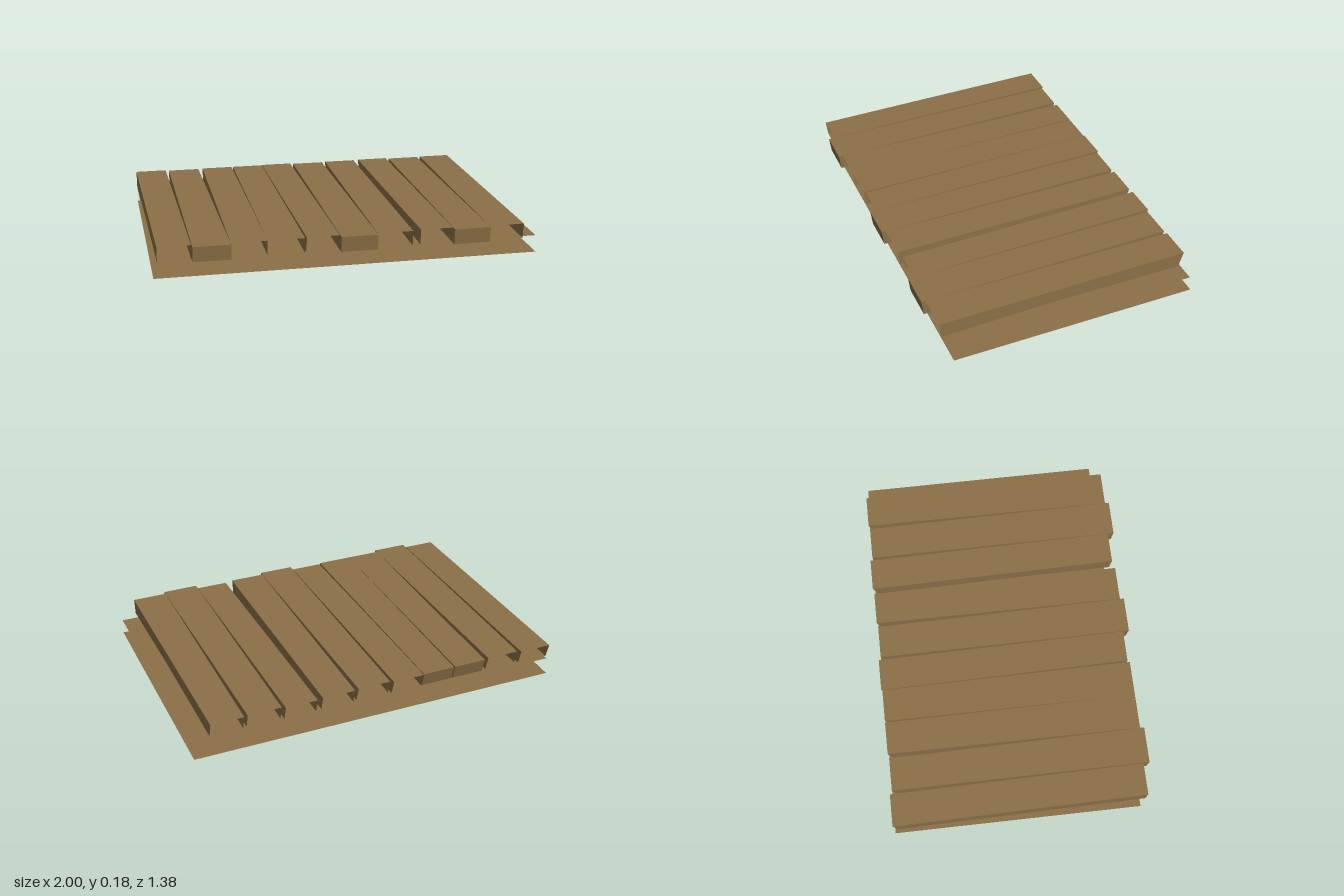
import * as THREE from 'three';

const wood = new THREE.MeshStandardMaterial({ color: 0x8b6f47, side: THREE.DoubleSide, flatShading: true });
wood.name = 'brown wood';

// Hollow plank lofted through front, middle and back sections; either end may be capped
function plankGeometry({ frontX, backX, frontZ, backZ, cap }) {
  const mid = (a, b, t) => a + (b - a) * t;
  const sections = [
    { x: frontX, top: [0.174, frontZ], bottom: [0.092, frontZ - 0.01] },
    { x: [mid(frontX[0], backX[0], 0.45), mid(frontX[1], backX[1], 0.45)], top: [0.176, 0.07], bottom: [0.104, 0.07] },
    { x: backX, top: [0.178, backZ], bottom: [0.096, backZ + 0.025] },
  ];
  const points = [], faces = [];
  for (const { x: [l, r], top, bottom } of sections) {
    points.push(l, ...bottom, r, ...bottom, r, ...top, l, ...top);
  }
  const quad = (a, b, c, d) => faces.push(a, b, c, a, c, d);
  for (let s = 0; s < 2; s++) {
    for (let i = 0; i < 4; i++) {
      const j = (i + 1) % 4, a = s * 4, b = a + 4;
      quad(a + i, b + i, b + j, a + j);
    }
  }
  if (cap === 'front') quad(0, 1, 2, 3);
  if (cap === 'back') quad(9, 8, 11, 10);
  const indexed = new THREE.BufferGeometry();
  indexed.setAttribute('position', new THREE.Float32BufferAttribute(points, 3));
  indexed.setIndex(faces);
  const geometry = indexed.toNonIndexed();
  geometry.computeVertexNormals();
  return geometry;
}

// Three cuts of plank, by the z of their ends
const cuts = {
  short: { frontZ: 0.657, backZ: -0.692 },
  long: { frontZ: 0.69, backZ: -0.68, cap: 'front' },
  middle: { frontZ: 0.668, backZ: -0.686 },
  closedBack: { frontZ: 0.668, backZ: -0.686, cap: 'back' },
};

// Cut, x edges at the front, x edges at the back
const planks = [
  ['short', [-0.98, -0.81], [-1.0, -0.828]],
  ['long', [-0.807, -0.615], [-0.81, -0.635]],
  ['closedBack', [-0.615, -0.43], [-0.61, -0.435]],
  ['closedBack', [-0.43, -0.24], [-0.427, -0.253]],
  ['short', [-0.23, -0.06], [-0.25, -0.078]],
  ['long', [-0.058, 0.132], [-0.062, 0.115]],
  ['middle', [0.133, 0.32], [0.137, 0.313]],
  ['short', [0.364, 0.534], [0.344, 0.516]],
  ['long', [0.535, 0.726], [0.533, 0.712]],
  ['middle', [0.726, 0.912], [0.732, 0.907]],
];

function sheet(name, y, backZ, frontZ, width) {
  const geometry = new THREE.PlaneGeometry(width, frontZ - backZ).rotateX(-Math.PI / 2);
  const mesh = new THREE.Mesh(geometry, wood);
  mesh.name = name;
  mesh.position.set(0, y, (frontZ + backZ) / 2);
  return mesh;
}

export function createModel() {
  const model = new THREE.Group();
  model.name = 'plank platform';
  planks.forEach(([cut, frontX, backX], i) => {
    const mesh = new THREE.Mesh(plankGeometry({ ...cuts[cut], frontX, backX }), wood);
    mesh.name = `plank${i + 1}`;
    model.add(mesh);
  });
  // Two thin sheets under the planks
  model.add(sheet('upperSheet', 0.087, -0.678, 0.617, 2));
  model.add(sheet('lowerSheet', 0, -0.69, 0.63, 2));
  return model;
}
